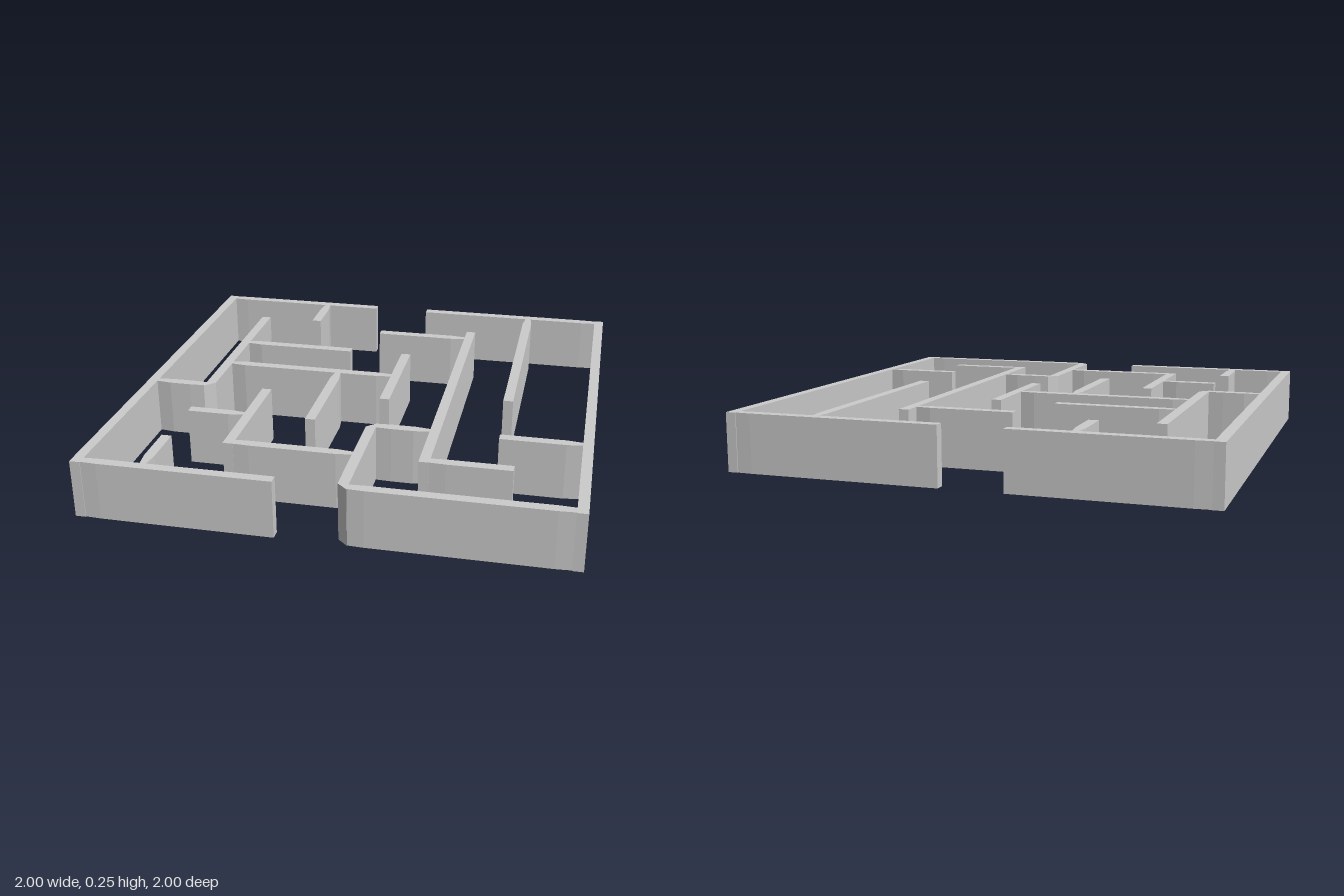
import * as THREE from 'three';

const HEIGHT = 0.245;
const HALF = 0.0215; // half the wall thickness
const TIP = 0.013; // half thickness where a wall narrows into another
const TAPER = 0.065; // length of that narrowing
const CUT = 0.04; // size of a cut corner

// Ways a wall can end
const FREE = 'free', JOIN = 'join', CORNER = 'corner', CUT_A = 'cutA', CUT_B = 'cutB';

// Outline points of one wall end on one side (+1 or -1): [distance from end, offset]
function endPoints(type, side) {
  if (type === JOIN) return [[HALF, side * TIP], [HALF + TAPER, side * HALF]];
  if (type === CORNER) return [[HALF, side * 0.018], [HALF + TAPER, side * HALF]];
  if ((type === CUT_A && side > 0) || (type === CUT_B && side < 0)) return [[CUT, side * HALF]];
  return [[0, side * HALF]];
}

// Upright wall along a centre line in plan, from (x0, z0) to (x1, z1)
function wallGeometry(x0, z0, x1, z1, start, end) {
  const length = Math.hypot(x1 - x0, z1 - z0);
  const dx = (x1 - x0) / length, dz = (z1 - z0) / length;
  const sidePoints = (side) => [
    ...endPoints(start, side),
    ...endPoints(end, side).reverse().map(([u, v]) => [length - u, v]),
  ];
  const outline = [...sidePoints(1), ...sidePoints(-1).reverse()];
  const shape = new THREE.Shape(outline.map(([u, v]) =>
    new THREE.Vector2(x0 + dx * u - dz * v, -(z0 + dz * u + dx * v))));
  return new THREE.ExtrudeGeometry(shape, { depth: HEIGHT, bevelEnabled: false }).rotateX(-Math.PI / 2);
}

// Name, centre line and the two end types of every wall
const E = 0.9785;
const WALLS = [
  // outer boundary
  ['outerWallRight', -E, -1, -E, 1, FREE, FREE],
  ['outerWallLeft', E, -1, E, 1, FREE, FREE],
  ['outerWallBackRight', -E, -E, -0.18, -E, CORNER, FREE],
  ['outerWallBackLeft', 0.085, -E, E, -E, FREE, CORNER],
  ['outerWallFrontRight', -E, E, -0.18, E, CORNER, FREE],
  ['outerWallFrontLeft', 0.088, E, E, E, CORNER, CORNER],
  // inner walls running front to back
  ['innerWall', -0.445, -E, -0.445, -0.715, JOIN, FREE],
  ['innerWall', -0.712, -0.715, -0.712, 0.194, FREE, CUT_B],
  ['innerWall', 0.62, -E, 0.62, 0.083, JOIN, FREE],
  ['innerWall', 0.355, -0.715, 0.355, 0.725, FREE, FREE],
  ['innerWall', 0.088, -0.36, 0.088, 0.172, FREE, FREE],
  ['innerWall', -0.178, -0.092, -0.178, 0.438, JOIN, FREE],
  ['innerWall', -0.445, 0.173, -0.445, 0.725, FREE, FREE],
  ['innerWall', -0.712, 0.705, -0.712, E, FREE, JOIN],
  ['innerWall', 0.088, 0.4185, 0.088, 1, CUT_A, CUT_A],
  // inner walls running side to side
  ['innerWall', -0.09, -0.625, 0.355, -0.625, FREE, JOIN],
  ['innerWall', -0.712, -0.36, -0.18, -0.36, JOIN, FREE],
  ['innerWall', -0.712, -0.092, 0.088, -0.092, JOIN, JOIN],
  ['innerWall', -E, 0.1725, -0.712, 0.1725, JOIN, CORNER],
  ['innerWall', -0.71, 0.44, -0.445, 0.44, FREE, JOIN],
  ['innerWall', 0.088, 0.44, 0.355, 0.44, CORNER, JOIN],
  ['innerWall', 0.62, 0.44, E, 0.44, FREE, JOIN],
  ['innerWall', -0.445, 0.706, 0.088, 0.706, CORNER, JOIN],
  ['innerWall', 0.355, 0.706, 0.705, 0.706, CORNER, FREE],
];

export function createModel() {
  const maze = new THREE.Group();
  maze.name = 'maze';
  const material = new THREE.MeshStandardMaterial({ color: 0xcccccc });
  WALLS.forEach(([name, ...spec], i) => {
    const wall = new THREE.Mesh(wallGeometry(...spec), material);
    wall.name = name === 'innerWall' ? `innerWall${i - 5}` : name;
    maze.add(wall);
  });
  return maze;
}
